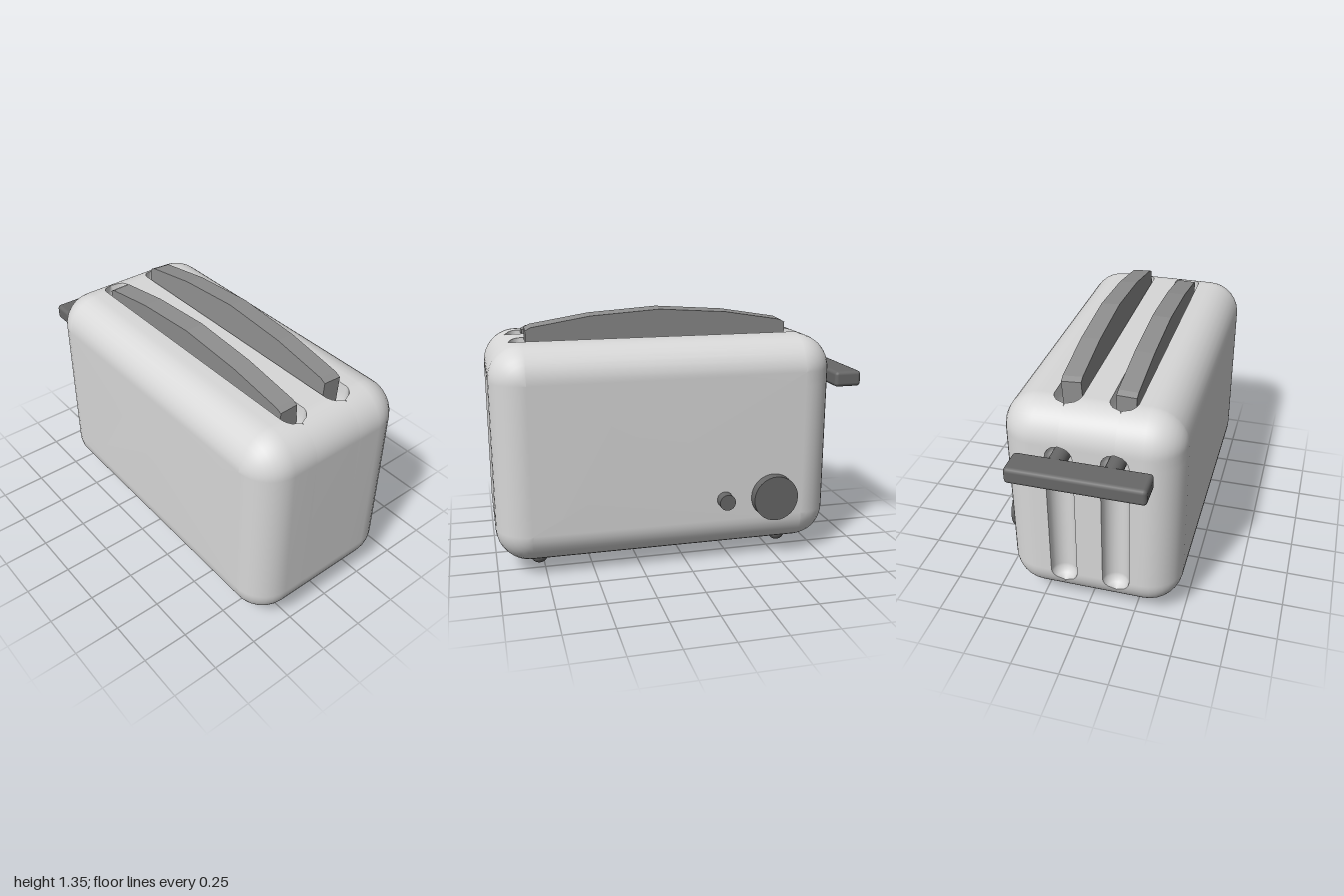
import * as THREE from 'three';
import { RoundedBoxGeometry } from 'three/addons/geometries/RoundedBoxGeometry.js';

const shell = new THREE.MeshStandardMaterial({ name: 'light grey shell', color: 0xd8d8d8 });
const bread = new THREE.MeshStandardMaterial({ name: 'mid grey bread', color: 0x8e8e8e });
const trim = new THREE.MeshStandardMaterial({ name: 'dark grey trim', color: 0x686868 });

// Body extents, corner radius and slot layout
const X0 = -0.48, X1 = 0.425, Y0 = 0.065, Y1 = 1.205, Z0 = -0.81, Z1 = 1.0, R = 0.18;
const SLOT_R = 0.07, SLOT_X = [-0.165, 0.11];

// Stations around the rounded outline in the y-z plane: front, top, back, bottom
function makeStations() {
  const list = [];
  const arc = (cz, cy, start) => {
    for (let d = 0; d <= 90; d += 5) list.push({ cz, cy, deg: start + d });
  };
  arc(Z1 - R, Y1 - R, 0);
  arc(Z0 + R, Y1 - R, 90);
  for (const cy of [1.015, 1.0, 0.98, 0.955]) list.push({ cz: Z0 + R, cy, deg: 180 });
  arc(Z0 + R, Y0 + R, 180);
  arc(Z1 - R, Y0 + R, 270);
  for (const s of list) {
    const a = THREE.MathUtils.degToRad(s.deg);
    s.dz = Math.cos(a);
    s.dy = Math.sin(a);
    s.top = s.deg < 135;
    // Half width of the slot here: full along its run, round at its ends
    const t = s.top ? s.cz + R * s.dz : s.cy + R * s.dy;
    const [lo, hi] = s.top ? [-0.6916, 0.8816] : [0.1834, 1.025];
    const e = Math.max(0, lo + SLOT_R - t, t - (hi - SLOT_R));
    s.w = s.deg > 225 ? 0 : Math.sqrt(Math.max(0, SLOT_R ** 2 - e * e));
  }
  return list;
}
const stations = makeStations();

// Surface through columns (steps across x), each running round all the stations
function patch(columns) {
  const pos = [], index = [], n = stations.length;
  for (const { x, side = 0, inset = 0, depth = 0, cap = false } of columns) {
    for (const s of stations) {
      const r = R - inset;
      let y = s.cy + r * s.dy, z = s.cz + r * s.dz;
      if (s.top) y -= depth * s.w * 2;
      else z += depth * s.w;
      if (cap) { y = (Y0 + Y1) / 2; z = (Z0 + Z1) / 2; }
      pos.push(x + side * s.w, y, z);
    }
  }
  for (let i = 0; i < columns.length - 1; i++) {
    for (let j = 0; j < n; j++) {
      const k = (j + 1) % n;
      const a = i * n + j, b = a + n, c = (i + 1) * n + k, d = i * n + k;
      index.push(a, b, c, a, c, d);
    }
  }
  const g = new THREE.BufferGeometry();
  g.setAttribute('position', new THREE.Float32BufferAttribute(pos, 3));
  g.setIndex(index);
  g.computeVertexNormals();
  return g;
}

// Rounded edge columns from the flat side inwards
function edgeColumns(x, dir) {
  const cols = [{ x, cap: true }];
  for (let i = 0; i <= 8; i++) {
    const a = (i / 8) * Math.PI / 2;
    cols.push({ x: x + dir * R * (1 - Math.cos(a)), inset: R * (1 - Math.sin(a)) });
  }
  return cols;
}

export function createModel() {
  const model = new THREE.Group();
  model.name = 'toaster';
  const add = (name, geo, mat, x = 0, y = 0, z = 0, parent = model) => {
    const m = new THREE.Mesh(geo, mat);
    m.name = name;
    m.position.set(x, y, z);
    parent.add(m);
    return m;
  };

  // Body shell in three strips, split by the two slot lines
  const body = new THREE.Group();
  body.name = 'body';
  model.add(body);
  const [a, b] = SLOT_X;
  add('bodyRight', patch([...edgeColumns(X0, 1), { x: a, side: -1 }]), shell, 0, 0, 0, body);
  add('bodyMiddle', patch([{ x: a, side: 1 }, { x: b, side: -1 }]), shell, 0, 0, 0, body);
  add('bodyLeft', patch([{ x: b, side: 1 }, ...edgeColumns(X1, -1).reverse()]), shell, 0, 0, 0, body);

  // Bread slots on top and lever grooves on the back
  for (const x of SLOT_X) {
    const cols = [];
    for (let i = 0; i <= 10; i++) {
      const t = (i / 10) * Math.PI;
      cols.push({ x, side: -Math.cos(t), depth: Math.sin(t) });
    }
    add('slot', patch(cols), shell, 0, 0, 0, body);
  }

  // Two slices of bread with arched tops, leaning apart
  const slice = new THREE.Shape([
    [-0.7, -0.12], [0.7, -0.12], [0.7, 0.055], [0.67, 0.07], [0.365, 0.12],
    [0, 0.145], [-0.365, 0.12], [-0.67, 0.07], [-0.7, 0.055],
  ].map(([u, v]) => new THREE.Vector2(u, v)));
  const sliceGeo = new THREE.ExtrudeGeometry(slice, { depth: 0.1, bevelEnabled: false });
  sliceGeo.translate(0, 0, -0.05).rotateY(Math.PI / 2);
  add('breadRight', sliceGeo, bread, -0.166, 1.165, 0.097).rotation.z = 0.035;
  add('breadLeft', sliceGeo, bread, 0.1, 1.205, 0.097).rotation.z = -0.065;

  // Lever bar on two posts that run in the back grooves
  add('leverBar', new RoundedBoxGeometry(0.68, 0.085, 0.15, 2, 0.02), trim, -0.025, 0.953, -0.925);
  const post = new THREE.CylinderGeometry(0.043, 0.043, 0.16, 20).rotateX(Math.PI / 2);
  for (const x of SLOT_X) add('leverPost', post, trim, x, 0.953, -0.79);

  // Browning dial and button
  for (const [name, r, z] of [['dial', 0.122, -0.465], ['button', 0.043, -0.195]]) {
    const g = new THREE.CylinderGeometry(r, r, 0.075, 32).rotateZ(Math.PI / 2);
    add(name, g, trim, 0.4425, 0.36, z);
  }

  // Ball feet
  const foot = new THREE.SphereGeometry(0.047, 20, 14);
  for (const x of [-0.237, 0.18]) for (const z of [0.775, -0.585]) add('foot', foot, trim, x, 0.047, z);

  return model;
}
